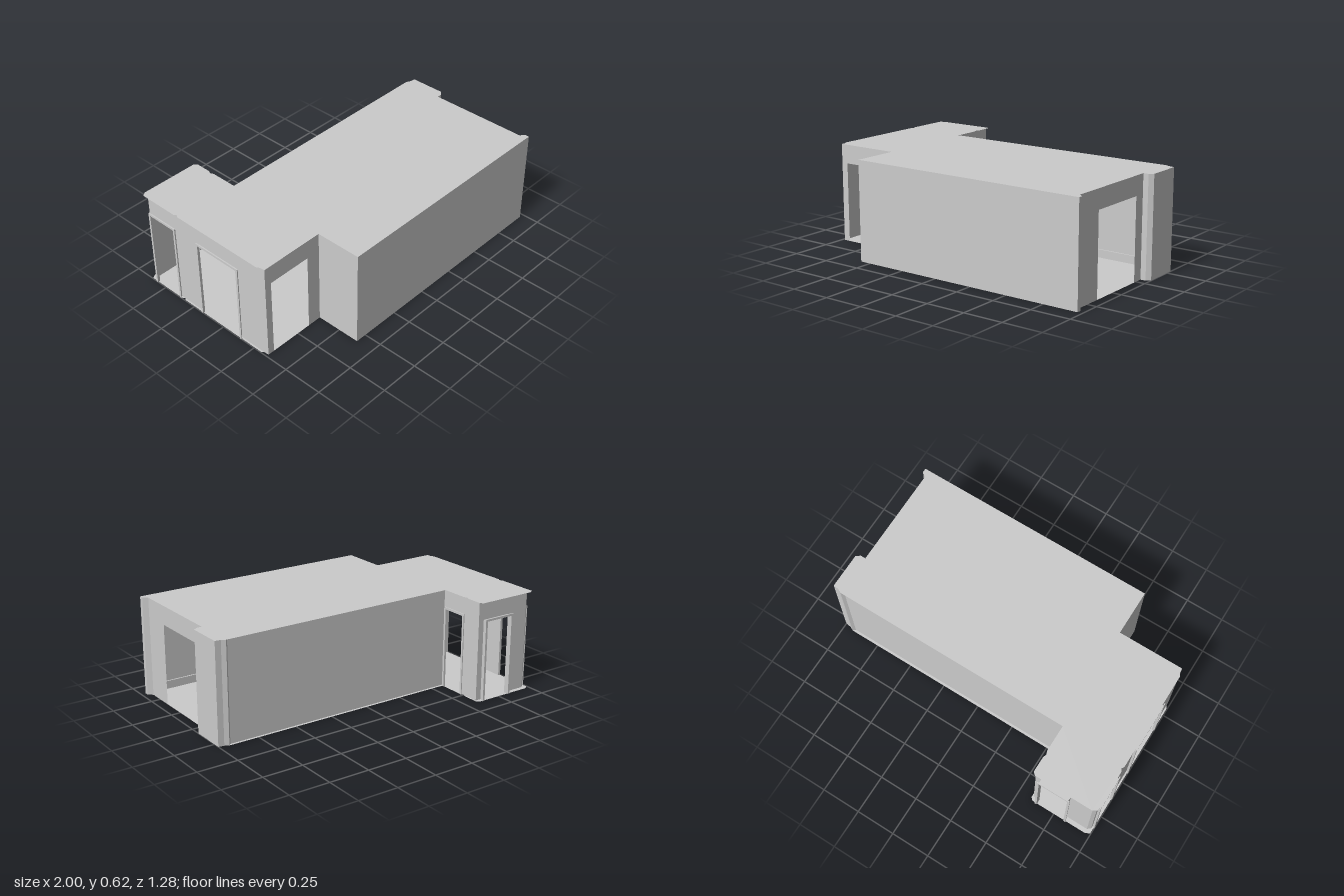
import * as THREE from 'three';

const H = 0.618;
const DOOR = 0.5;
const mat = new THREE.MeshStandardMaterial({ color: 0xcccccc, side: THREE.DoubleSide, flatShading: true });

// Outline (x, z) of the floor and ceiling slabs
const outline = [
  [-0.57, 0.637], [0.97, 0.637], [0.97, 0.61], [0.942, 0.588], [0.942, -0.05], [0.975, -0.05],
  [1, -0.07], [1, -0.292], [0.965, -0.297], [0.94, -0.31], [-0.583, -0.31], [-0.583, -0.48],
  [-0.592, -0.5], [-0.583, -0.52], [-0.583, -0.62], [-0.6, -0.636], [-0.97, -0.636],
  [-0.996, -0.62], [-0.996, -0.36], [-0.985, -0.345], [-0.996, -0.33], [-0.996, 0.3],
  [-0.983, 0.32], [-0.983, 0.348], [-0.57, 0.348],
];

// Walls run round the plan: from, to, openings [start, end along the wall's axis, casing depth]
const walls = [
  ['frontWall', [-0.57, 0.637], [0.97, 0.637]],
  ['frontCornerEnd', [0.97, 0.637], [0.97, 0.61]],
  ['frontCornerBevel', [0.97, 0.61], [0.942, 0.588]],
  ['rightWall', [0.942, 0.588], [0.942, -0.05], [[0.405, 0.02, 0]]],
  ['pierReturn', [0.942, -0.05], [0.975, -0.05]],
  ['pierBevel', [0.975, -0.05], [1, -0.07]],
  ['pierSide', [1, -0.07], [1, -0.292]],
  ['pierBack', [1, -0.292], [0.965, -0.297]],
  ['pierBackBevel', [0.965, -0.297], [0.94, -0.31]],
  ['pierBackReturn', [0.94, -0.31], [0.925, -0.295]],
  ['backWall', [0.925, -0.295], [-0.592, -0.295]],
  ['hallRightWall', [-0.592, -0.295], [-0.592, -0.608], [[-0.322, -0.473, 0.01]]],
  ['hallBackWall', [-0.592, -0.608], [-0.965, -0.608], [[-0.632, -0.82, 0.031]]],
  ['hallCornerBevel', [-0.965, -0.608], [-0.985, -0.592]],
  ['hallLeftWall', [-0.985, -0.592], [-0.985, 0.32], [[-0.57, -0.375, 0.013], [-0.172, 0.135, 0.013]]],
  ['hallCornerReturn', [-0.985, 0.32], [-0.983, 0.348]],
  ['hallFrontWall', [-0.983, 0.348], [-0.57, 0.348], [[-0.94, -0.66, 0]]],
  ['roomLeftWall', [-0.57, 0.348], [-0.57, 0.637]],
];

function addMesh(parent, name, geometry, x = 0, y = 0, z = 0) {
  const mesh = new THREE.Mesh(geometry, mat);
  mesh.name = name;
  mesh.position.set(x, y, z);
  parent.add(mesh);
  return mesh;
}

function addBox(parent, name, x0, x1, y0, y1, z0, z1) {
  addMesh(parent, name, new THREE.BoxGeometry(x1 - x0, y1 - y0, z1 - z0),
    (x0 + x1) / 2, (y0 + y1) / 2, (z0 + z1) / 2);
}

// Jamb lining and outer trim round an opening from u0 to u1
function addCasing(parent, u0, u1, depth) {
  const t = 0.003, w = 0.014;
  addBox(parent, 'jamb', u0 - t, u0, 0, DOOR, 0, depth);
  addBox(parent, 'jamb', u1, u1 + t, 0, DOOR, 0, depth);
  addBox(parent, 'doorHead', u0, u1, DOOR, DOOR + t, 0, depth);
  addBox(parent, 'casingSide', u0 - w, u0, 0, DOOR + w, depth - t, depth + t);
  addBox(parent, 'casingSide', u1, u1 + w, 0, DOOR + w, depth - t, depth + t);
  addBox(parent, 'casingTop', u0, u1, DOOR, DOOR + w, depth - t, depth + t);
}

// A wall panel whose local x runs along it and local z points outwards
function buildWall(name, a, b, openings = []) {
  const dx = b[0] - a[0], dz = b[1] - a[1];
  const length = Math.hypot(dx, dz);
  const group = new THREE.Group();
  group.name = name;
  group.position.set(a[0], 0, a[1]);
  group.rotation.y = Math.atan2(-dz, dx);

  const start = Math.abs(dx) > Math.abs(dz) ? a[0] : a[1];
  const shape = new THREE.Shape();
  shape.moveTo(0, 0);
  for (const [from, to, depth] of openings) {
    const u0 = Math.abs(from - start), u1 = Math.abs(to - start);
    shape.lineTo(u0, 0);
    shape.lineTo(u0, DOOR);
    shape.lineTo(u1, DOOR);
    shape.lineTo(u1, 0);
    if (depth > 0) addCasing(group, u0, u1, depth);
  }
  shape.lineTo(length, 0);
  shape.lineTo(length, H);
  shape.lineTo(0, H);
  addMesh(group, name + 'Panel', new THREE.ShapeGeometry(shape));
  return group;
}

export function createModel() {
  const model = new THREE.Group();
  model.name = 'roomShell';

  // Floor and ceiling
  const plan = new THREE.Shape(outline.map(([x, z]) => new THREE.Vector2(x, -z)));
  for (const [name, y] of [['floor', 0], ['ceiling', H]]) {
    addMesh(model, name, new THREE.ShapeGeometry(plan), 0, y, 0).rotation.x = -Math.PI / 2;
  }

  // Outer walls with doorways
  for (const wall of walls) model.add(buildWall(...wall));

  // Short return between hall and main room
  model.add(buildWall('hallReturn', [-0.57, 0.295], [-0.57, 0.348]));

  // Skirting inside the main room
  addBox(model, 'backSkirting', -0.57, 0.925, 0, 0.05, -0.295, -0.285);
  addBox(model, 'frontSkirting', -0.57, 0.94, 0, 0.05, 0.625, 0.635);
  return model;
}
